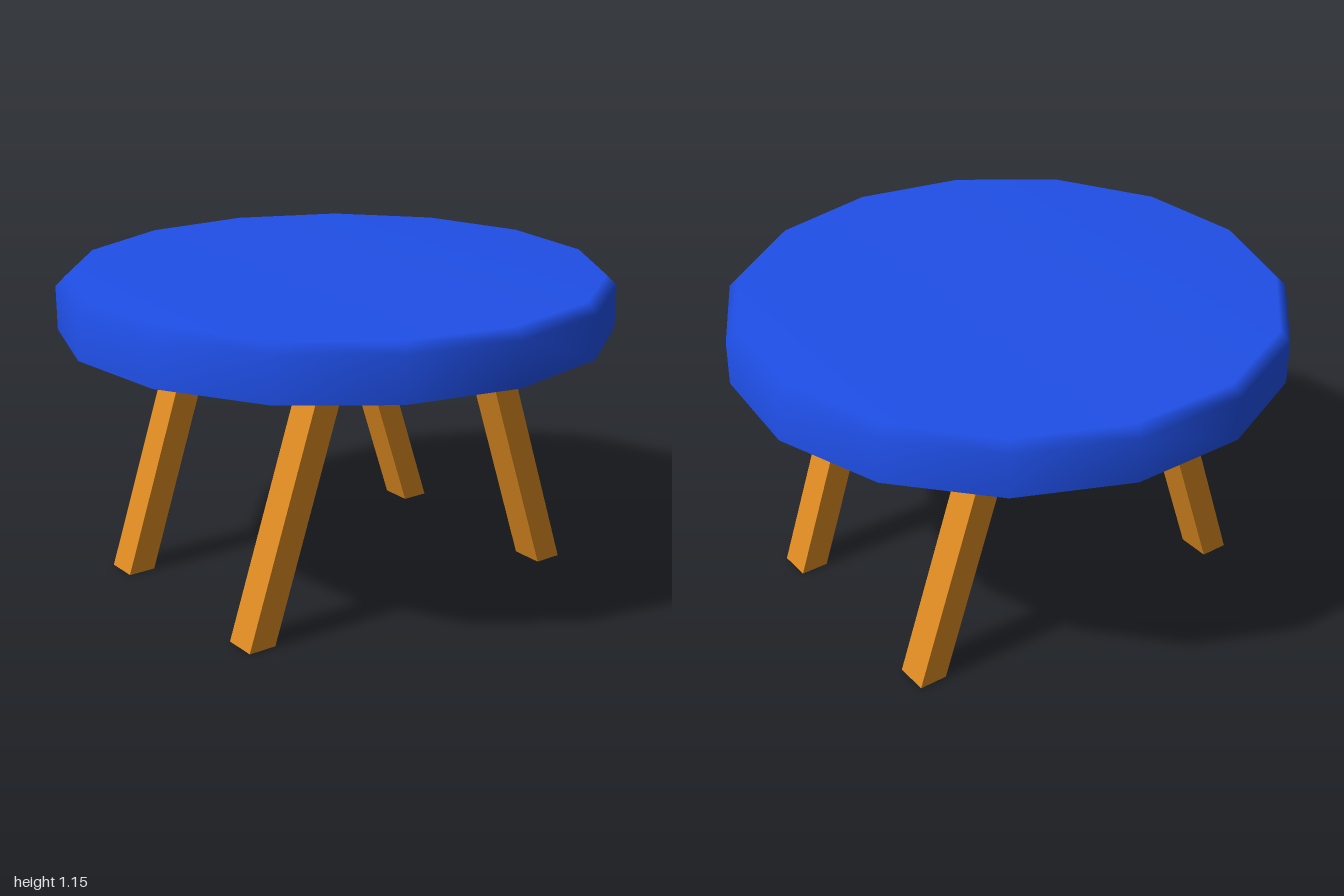
import * as THREE from 'three';

const CX = -0.011; // the 15-sided top is centred by its outline, so its axis sits slightly off x = 0

export function createModel() {
  const model = new THREE.Group();
  model.name = 'table';
  const blue = new THREE.MeshStandardMaterial({ color: 0x1f4fe8, side: THREE.DoubleSide });
  const orange = new THREE.MeshStandardMaterial({ color: 0xe08c22, side: THREE.DoubleSide, flatShading: true });

  // Table top: bevelled 15-sided shell, open underneath, smooth shaded
  const profile = [[1.0055, 0.95], [1.0055, 1.11], [0.968, 1.147], [0, 1.147]]
    .map(([r, y]) => new THREE.Vector2(r, y));
  const top = new THREE.Mesh(new THREE.LatheGeometry(profile, 15, Math.PI / 2), blue);
  top.name = 'tableTop';
  top.position.x = CX;
  model.add(top);

  // Legs: open-ended square tubes sheared outwards along z, with level ends
  const height = 0.952;
  for (const sx of [1, -1]) {
    for (const sz of [1, -1]) {
      const geo = new THREE.CylinderGeometry(Math.SQRT1_2, Math.SQRT1_2, height, 4, 1, true);
      geo.rotateY(Math.PI / 4);
      geo.scale(0.123, 1, 0.105);
      geo.translate(0, height / 2, 0);
      const pos = geo.attributes.position;
      for (let i = 0; i < pos.count; i++) {
        const t = pos.getY(i) / height;
        pos.setZ(i, pos.getZ(i) + sz * THREE.MathUtils.lerp(0.66, 0.343, t));
      }
      geo.computeVertexNormals();
      const leg = new THREE.Mesh(geo, orange);
      leg.name = (sz > 0 ? 'front' : 'back') + (sx > 0 ? 'Left' : 'Right') + 'Leg';
      leg.position.set(CX + sx * 0.407, 0, -0.005);
      model.add(leg);
    }
  }
  return model;
}
